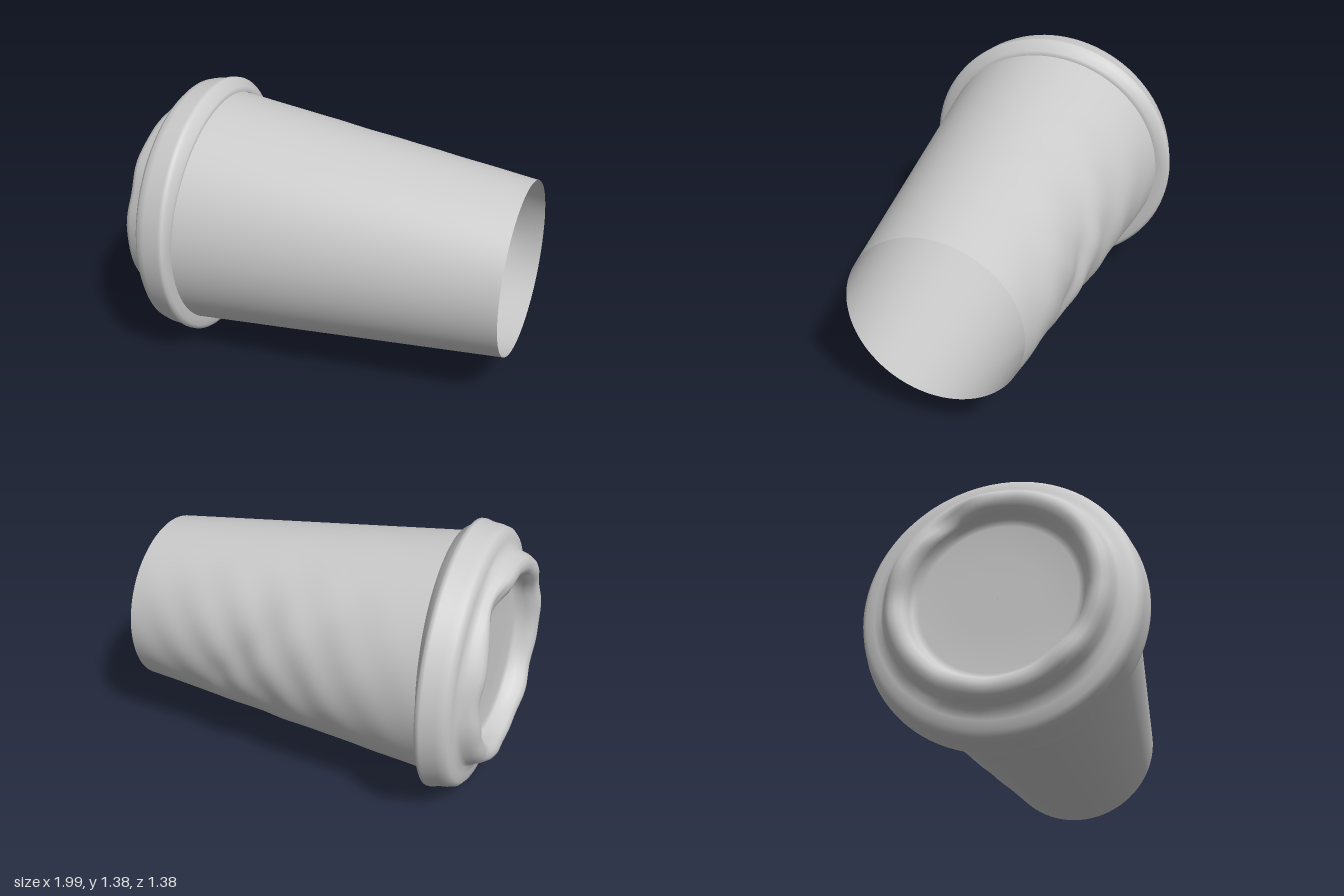
import * as THREE from 'three';

const SIDES = 96;
const material = new THREE.MeshStandardMaterial({ color: 0xcccccc, side: THREE.DoubleSide });

// Skin through rings around the x axis. Ring: [x, radius, centreY, centreZ, tilt]
// tilt leans the ring so its front edge sits further toward -x.
function skin(name, rings, dent) {
  const pos = [], index = [];
  rings.forEach(([x, r, cy, cz, tilt], i) => {
    for (let j = 0; j < SIDES; j++) {
      const a = (j / SIDES) * Math.PI * 2;
      const [dx, dr] = dent(x, r, a);
      const z = cz + (r + dr) * Math.sin(a);
      pos.push(x + dx - tilt * z, cy + (r + dr) * Math.cos(a), z);
      if (i === rings.length - 1) continue;
      const p = i * SIDES + j, q = i * SIDES + (j + 1) % SIDES;
      index.push(p, p + SIDES, q, q, p + SIDES, q + SIDES);
    }
  });
  const g = new THREE.BufferGeometry();
  g.setAttribute('position', new THREE.Float32BufferAttribute(pos, 3));
  g.setIndex(index);
  g.computeVertexNormals();
  const mesh = new THREE.Mesh(g, material);
  mesh.name = name;
  return mesh;
}

// Smooth bump, 1 at the middle and fading out over the given width
const bump = (v, mid, width) => Math.exp(-(((v - mid) / width) ** 2));

export function createModel() {
  const group = new THREE.Group();
  group.name = 'takeawayCup';

  // Tapered cup wall, open at the base end
  const wall = [];
  const STEPS = 60;
  for (let i = 0; i <= STEPS; i++) {
    const t = i / STEPS, m = THREE.MathUtils.lerp;
    wall.push([m(0.972, -0.7, t), m(0.447, 0.62, t), m(0.667, 0.703, t), m(0.09, 0.003, t), m(0.06, 0.03, t)]);
  }
  // Crumples on the back of the wall
  group.add(skin('cupWall', wall, (x, r, a) => {
    const back = bump(a, Math.PI * 1.5, 0.75) * bump(x, 0.2, 0.6);
    const folds = 0.008 * Math.sin(13 * x + 5 * a) + 0.005 * Math.sin(23 * x - 7 * a);
    const crease = -0.025 * bump(x + 0.35 * (a - 4.6), 0.38, 0.09) * bump(a, 4.6, 0.5);
    return [0, back * folds + crease];
  }));

  // Lid: underside of the lip, band, shoulder, raised edge and sunken top
  const lid = [
    [-0.675, 0.613, 0.703, 0, 0.03],
    [-0.675, 0.64, 0.702, 0, 0.03],
    [-0.68, 0.67, 0.7, 0, 0.03],
    [-0.69, 0.688, 0.7, 0, 0.03],
    [-0.71, 0.688, 0.7, 0, 0.03],
    [-0.74, 0.678, 0.7, 0, 0.04],
    [-0.79, 0.672, 0.7, 0, 0.045],
    [-0.825, 0.662, 0.7, 0, 0.045],
    [-0.845, 0.64, 0.702, 0, 0.045],
    [-0.852, 0.6, 0.708, 0, 0.05],
    [-0.862, 0.565, 0.712, 0, 0.055],
    [-0.885, 0.55, 0.713, 0, 0.065],
    [-0.92, 0.538, 0.713, 0, 0.075],
    [-0.945, 0.522, 0.713, 0, 0.075],
    [-0.958, 0.5, 0.713, 0, 0.075],
    [-0.96, 0.47, 0.713, 0, 0.075],
    [-0.945, 0.44, 0.713, 0, 0.075],
    [-0.9, 0.422, 0.713, 0, 0.075],
    [-0.865, 0.41, 0.713, 0, 0.07],
    [-0.852, 0.38, 0.713, 0, 0.065],
    [-0.85, 0.2, 0.713, 0, 0.065],
    [-0.85, 0.001, 0.713, 0, 0.065],
  ];
  // Drinking dip in the raised edge, softer lip slope on the upper side, slight waviness
  group.add(skin('lid', lid, (x, r, a) => {
    const dip = 0.05 * bump(a, 5.75, 0.3) * bump(x, -0.96, 0.04) * bump(r, 0.47, 0.06);
    const slope = x > -0.678 ? 0.035 * Math.max(0, Math.cos(a)) : 0;
    const wave = r > 0.42 && x < -0.87 ? 0.005 * Math.sin(7 * a) + 0.003 * Math.sin(12 * a + 1) : 0;
    return [dip + slope + wave, 0];
  }));

  return group;
}
